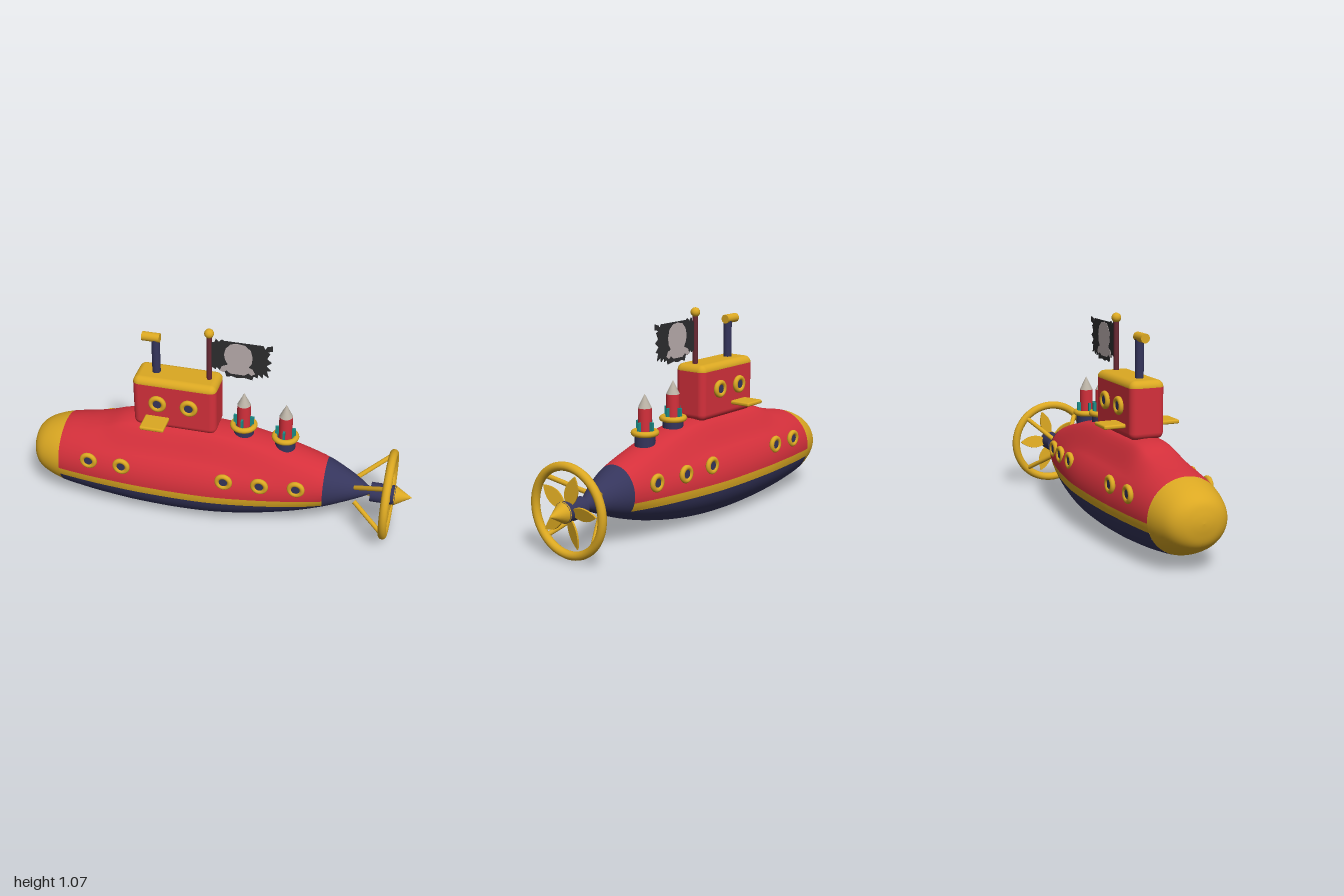
import * as THREE from 'three';
import { RoundedBoxGeometry } from 'three/addons/geometries/RoundedBoxGeometry.js';

const mat = (name, color, side = THREE.FrontSide) => {
  const m = new THREE.MeshStandardMaterial({ color, side });
  m.name = name;
  return m;
};
const red = mat('red', 0xd4303b), gold = mat('gold', 0xdba822), navy = mat('navy', 0x35355c);
const maroon = mat('maroon', 0x6a2934), teal = mat('teal', 0x1c8f8a), steel = mat('steel', 0xbab2a5);
const black = mat('black', 0x2d2d2f), bone = mat('bone', 0xb9adad);

// Hull stations: x, bottom, top, half width, deck rise
const ST = [
  [-1, .243, .243, 0, 0], [-.995, .2, .285, .05, 0], [-.98, .145, .33, .1, 0], [-.95, .11, .36, .14, 0],
  [-.9, .08, .388, .167, 0], [-.82, .05, .415, .19, 0], [-.7, .03, .435, .207, .005], [-.6, .018, .44, .217, .026],
  [-.5, .01, .44, .224, .06], [-.4, .004, .44, .23, .07], [-.2, 0, .44, .233, .07], [0, .008, .44, .227, .07],
  [.2, .032, .43, .202, .055], [.4, .075, .405, .165, .03], [.56, .125, .38, .125, .006],
  [.66, .165, .34, .085, 0], [.73, .195, .3, .05, 0], [.79, .225, .255, .018, 0],
];
const NOSE = 5, TAIL = 14, END = 17;

// Smooth station at fractional index s
function station(s) {
  const i = Math.min(Math.floor(s), END - 1), t = s - i;
  const P = k => ST[Math.max(0, Math.min(END, k))];
  return ST[0].map((_, c) => {
    const a = P(i - 1)[c], b = P(i)[c], d = P(i + 1)[c], e = P(i + 2)[c];
    const m0 = (d - a) / 2, m1 = (e - b) / 2;
    return b + m0 * t + (3 * (d - b) - 2 * m0 - m1) * t * t + (2 * (b - d) + m0 + m1) * t * t * t;
  });
}

// Angle on the section where the hull crosses height y
function angleAt(s, y) {
  const [, lo, hi] = station(s);
  return Math.asin(THREE.MathUtils.clamp((y - (lo + hi) / 2) / ((hi - lo) / 2), -1, 1));
}

// Hull panel between two stations, between two angle functions of s
function panel(s0, s1, from, to, nv) {
  const pos = [], idx = [], nu = (s1 - s0) * 6;
  for (let i = 0; i <= nu; i++) {
    const s = s0 + (s1 - s0) * i / nu, [x, lo, hi, w, rise] = station(s);
    for (let j = 0; j <= nv; j++) {
      const a = THREE.MathUtils.lerp(from(s), to(s), j / nv), z = w * Math.cos(a), sn = Math.sin(a);
      let y = (lo + hi) / 2 + (hi - lo) / 2 * sn;
      if (sn > 0) y += rise * (1 - THREE.MathUtils.smoothstep(Math.abs(z), .07, .17));
      pos.push(x, y, z);
      if (i < nu && j < nv) {
        const p = i * (nv + 1) + j, q = p + nv + 1;
        idx.push(p, q, q + 1, p, q + 1, p + 1);
      }
    }
  }
  const g = new THREE.BufferGeometry();
  g.setAttribute('position', new THREE.Float32BufferAttribute(pos, 3));
  g.setIndex(idx);
  g.computeVertexNormals();
  return g;
}

function add(parent, name, geo, material, x = 0, y = 0, z = 0) {
  const m = new THREE.Mesh(geo, material);
  m.name = name;
  m.position.set(x, y, z);
  parent.add(m);
  return m;
}
const cyl = (r0, r1, h, n = 32) => new THREE.CylinderGeometry(r0, r1, h, n);
const cylX = (r0, r1, h) => cyl(r0, r1, h).rotateZ(-Math.PI / 2);

// Rod between two points
function rod(parent, name, a, b, r, material) {
  const d = b.clone().sub(a), m = add(parent, name, cyl(r, r, d.length(), 16), material);
  m.position.copy(a).addScaledVector(d, .5);
  m.quaternion.setFromUnitVectors(new THREE.Vector3(0, 1, 0), d.normalize());
}

// Gold rim with dark glass, facing side +1 or -1
function porthole(parent, x, y, z, side) {
  const g = new THREE.Group();
  g.name = 'porthole';
  g.position.set(x, y, z * side);
  add(g, 'portholeRim', new THREE.TorusGeometry(.033, .013, 14, 32), gold);
  add(g, 'portholeGlass', cyl(.033, .033, .012).rotateX(Math.PI / 2), navy);
  parent.add(g);
}

function buildHull(root) {
  const PI = Math.PI, hi = s => angleAt(s, .218), lo = s => angleAt(s, .174);
  add(root, 'noseCap', panel(0, NOSE, () => -PI / 2, () => PI * 1.5, 64), gold);
  add(root, 'upperHull', panel(NOSE, TAIL, hi, s => PI - hi(s), 56), red);
  add(root, 'leftStripe', panel(NOSE, TAIL, lo, hi, 4), gold);
  add(root, 'rightStripe', panel(NOSE, TAIL, s => PI - hi(s), s => PI - lo(s), 4), gold);
  add(root, 'lowerHull', panel(NOSE, TAIL, s => PI - lo(s), s => 2 * PI + lo(s), 40), navy);
  add(root, 'tailCone', panel(TAIL, END, () => -PI / 2, () => PI * 1.5, 64), navy);
  const holes = [[-.645, .313, .205], [-.465, .317, .215], [.07, .313, .205], [.25, .305, .185], [.43, .295, .152]];
  for (const [x, y, z] of holes) for (const side of [1, -1]) porthole(root, x, y, z, side);
}

function buildTower(root) {
  // Rounded box, split so the top edge and roof are gold
  const box = new RoundedBoxGeometry(.43, .285, .178, 6, .034), p = box.attributes.position, n = box.attributes.normal;
  const parts = { roof: [[], []], walls: [[], []] };
  for (let i = 0; i < p.count; i += 3) {
    const part = (p.getY(i) + p.getY(i + 1) + p.getY(i + 2)) / 3 > .1095 ? parts.roof : parts.walls;
    for (let k = i; k < i + 3; k++) {
      part[0].push(p.getX(k), p.getY(k), p.getZ(k));
      part[1].push(n.getX(k), n.getY(k), n.getZ(k));
    }
  }
  for (const [key, material] of [['roof', gold], ['walls', red]]) {
    const g = new THREE.BufferGeometry();
    g.setAttribute('position', new THREE.Float32BufferAttribute(parts[key][0], 3));
    g.setAttribute('normal', new THREE.Float32BufferAttribute(parts[key][1], 3));
    add(root, 'tower ' + key, g, material, -.215, .643, 0);
  }
  for (const x of [-.297, -.135]) for (const side of [1, -1]) porthole(root, x, .654, .097, side);
  add(root, 'divePlanes', new RoundedBoxGeometry(.125, .02, .396, 3, .008), gold, -.302, .564, 0);
  // Periscope
  add(root, 'periscopeTube', cyl(.021, .021, .2), navy, -.325, .875, 0);
  add(root, 'periscopeHead', cylX(.023, .023, .09), gold, -.347, .982, 0);
  // Flag mast
  add(root, 'mast', cyl(.013, .013, .26, 20), maroon, -.053, .905, 0);
  add(root, 'mastBall', new THREE.SphereGeometry(.024, 24, 16), gold, -.053, 1.046, 0);
}

const shapeOf = pts => new THREE.Shape(pts.map(([x, y]) => new THREE.Vector2(x, y)));
const plate = (shape, depth) =>
  new THREE.ExtrudeGeometry(shape, { depth, bevelEnabled: false, curveSegments: 16 }).translate(0, 0, -depth / 2);

function buildFlag(root) {
  // Ragged cloth
  const cloth = shapeOf([[-.045, .86], [-.02, .848], [-.015, .862], [.01, .838], [.025, .842], [.035, .812], [.06, .82],
    [.09, .812], [.12, .82], [.165, .812], [.17, .835], [.19, .828], [.195, .85], [.215, .83], [.218, .855], [.245, .838],
    [.235, .875], [.255, .88], [.232, .905], [.258, .925], [.235, .945], [.25, .975], [.235, .985], [.262, .992],
    [.262, 1.02], [.235, 1.012], [.225, .995], [.215, 1.015], [.02, 1.015], [.01, 1.022], [-.005, 1.005], [-.02, 1.022],
    [-.028, 1.0], [-.045, 1.0]]);
  add(root, 'flagCloth', plate(cloth, .005), black);
  // Pale emblem: dome, jaw and two stubby bars
  const emblem = shapeOf([[.0, .845], [.02, .838], [.035, .85], [.055, .835], [.125, .835], [.145, .85], [.16, .838],
    [.178, .85], [.165, .875], [.145, .882], [.16, .905], [.165, .94], [.155, .98], [.125, 1.005], [.09, 1.01],
    [.055, 1.003], [.03, .975], [.022, .94], [.028, .91], [.042, .885], [.01, .87]]);
  add(root, 'flagEmblem', plate(emblem, .009), bone);
}

function buildLauncher(root, x, y) {
  const g = new THREE.Group();
  g.name = 'rocketLauncher';
  g.position.set(x, y, 0);
  add(g, 'launcherSocket', cyl(.052, .052, .1), navy, 0, -.05, 0);
  add(g, 'launcherRing', new THREE.TorusGeometry(.055, .0145, 14, 40).rotateX(Math.PI / 2), gold);
  add(g, 'rocketBody', cyl(.034, .034, .125), red, 0, .06, 0);
  add(g, 'rocketTip', cyl(0, .034, .07), steel, 0, .157, 0);
  for (let i = 0; i < 4; i++) {
    const a = i * Math.PI / 2;
    const fin = add(g, 'rocketFin', new THREE.BoxGeometry(.022, .06, .01), teal, Math.cos(a) * .041, .025, Math.sin(a) * .041);
    fin.rotation.y = -a;
  }
  root.add(g);
}

function buildPropeller(root) {
  const g = new THREE.Group();
  g.name = 'propeller';
  g.position.set(0, .236, 0);
  add(g, 'shaft', cylX(.05, .05, .125), navy, .853, 0, 0);
  add(g, 'spinner', cylX(0, .052, .09), gold, .955, 0, 0);
  add(g, 'guardRing', new THREE.TorusGeometry(.21, .021, 16, 64).rotateY(Math.PI / 2), gold, .88, 0, 0);
  // Leaf-shaped blades
  const leaf = new THREE.Shape();
  leaf.moveTo(.03, -.012);
  leaf.bezierCurveTo(.08, -.045, .13, -.04, .18, 0);
  leaf.bezierCurveTo(.13, .04, .08, .045, .03, .012);
  for (let i = 0; i < 5; i++) {
    const geo = plate(leaf, .008).rotateX(.25).rotateY(Math.PI / 2);
    add(g, 'blade', geo, gold, .885, 0, 0).rotation.x = i * Math.PI * .4 + .03;
  }
  // Struts from tail to ring
  for (let i = 0; i < 4; i++) {
    const a = Math.PI / 4 + i * Math.PI / 2, c = Math.cos(a), s = Math.sin(a);
    rod(g, 'strut', new THREE.Vector3(.715, .065 * s, .065 * c), new THREE.Vector3(.88, .208 * s, .208 * c), .012, gold);
  }
  root.add(g);
}

export function createModel() {
  const root = new THREE.Group();
  root.name = 'submarine';
  buildHull(root);
  buildTower(root);
  buildFlag(root);
  buildLauncher(root, .125, .536);
  buildLauncher(root, .34, .502);
  buildPropeller(root);
  return root;
}
